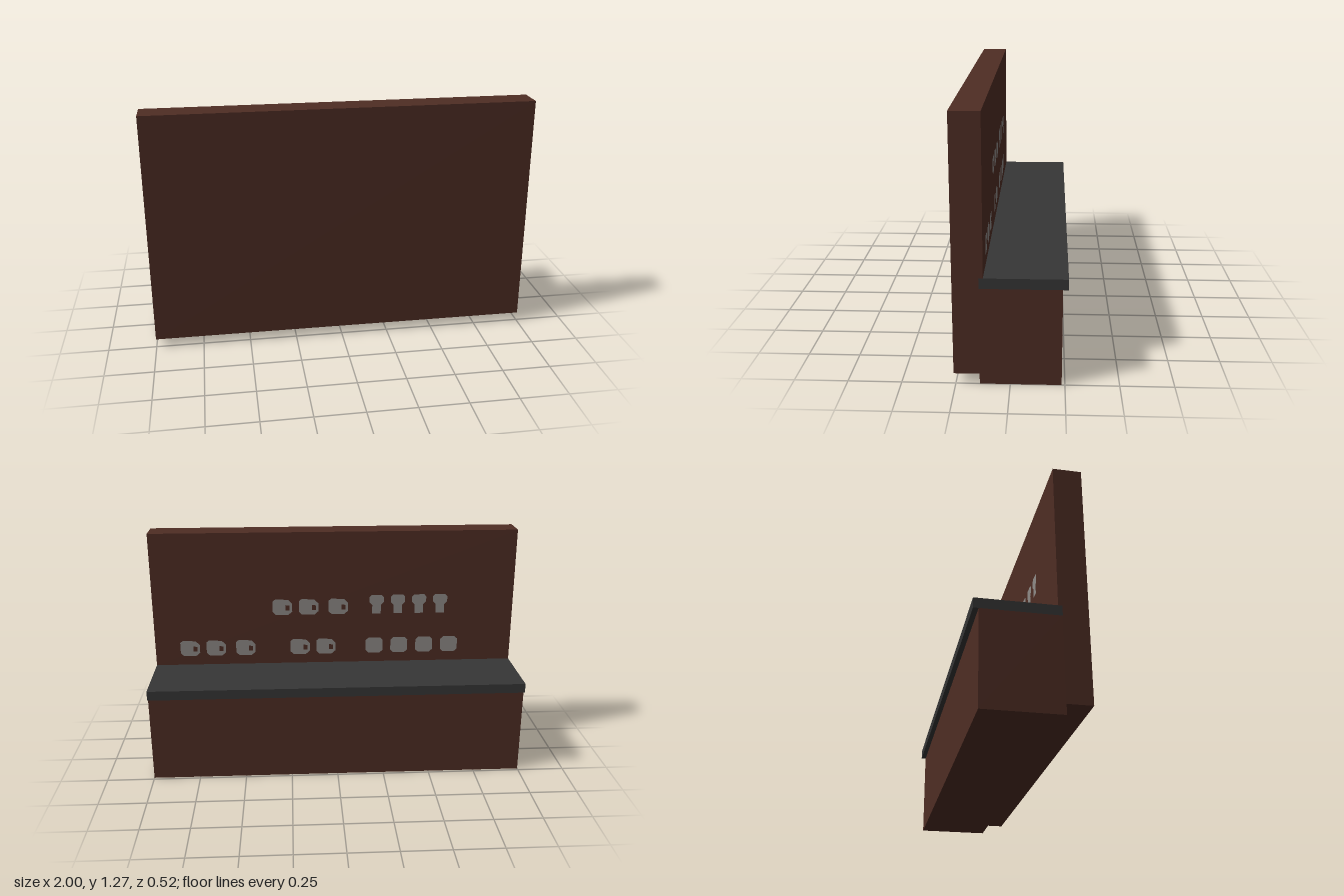
import * as THREE from 'three';

export function createModel() {
  const model = new THREE.Group();
  const wood = new THREE.MeshStandardMaterial({ name: 'darkWood', color: 0x4f2d24 });
  const slate = new THREE.MeshStandardMaterial({ name: 'darkSlate', color: 0x363636 });
  const grey = new THREE.MeshStandardMaterial({ name: 'paleGrey', color: 0x8f8b88 });

  const add = (name, geometry, material) => {
    const mesh = new THREE.Mesh(geometry, material);
    mesh.name = name;
    model.add(mesh);
    return mesh;
  };
  // Full-width block between two heights and two depths
  const block = (name, y0, y1, z0, z1, material) =>
    add(name, new THREE.BoxGeometry(2, y1 - y0, z1 - z0), material)
      .position.set(0, (y0 + y1) / 2, (z0 + z1) / 2);

  block('cabinet', 0, 0.47, -0.235, 0.14, wood);
  block('countertop', 0.47, 0.52, -0.26, 0.14, slate);

  // Back panel, rebated where the countertop lets into it
  const profile = new THREE.Shape([
    [-0.26, 0.05], [-0.14, 0.05], [-0.14, 0.52], [-0.12, 0.52], [-0.12, 1.27], [-0.26, 1.27],
  ].map(([x, y]) => new THREE.Vector2(x, y)));
  const panel = new THREE.ExtrudeGeometry(profile, { depth: 2, bevelEnabled: false });
  panel.translate(0, 0, -1).rotateY(Math.PI / 2);
  add('backPanel', panel, wood);

  // Flat silhouettes of the crockery
  const outline = (points) => new THREE.Shape(points.map(([x, y]) => new THREE.Vector2(x, y)));
  const tumbler = outline([
    [-0.048, -0.03], [-0.032, -0.045], [0.032, -0.045], [0.048, -0.03],
    [0.048, 0.03], [0.032, 0.045], [-0.032, 0.045], [-0.048, 0.03],
  ]);
  const cup = outline([
    [-0.052, -0.028], [-0.034, -0.045], [0.034, -0.045], [0.056, -0.026],
    [0.056, 0.02], [0.034, 0.042], [-0.036, 0.046], [-0.052, 0.034],
  ]);
  cup.holes.push(outline([[0.02, -0.018], [0.02, 0.012], [0.042, 0.008], [0.042, -0.018]]));
  const goblet = outline([
    [-0.024, -0.055], [0.024, -0.055], [0.024, -0.005], [0.04, 0.012],
    [0.04, 0.04], [0.028, 0.053], [-0.028, 0.053], [-0.04, 0.04], [-0.04, 0.012], [-0.024, -0.005],
  ]);

  const row = (name, shape, y, xs) => {
    const geometry = new THREE.ShapeGeometry(shape).rotateY(Math.PI);
    xs.forEach((x, i) => add(name + (i + 1), geometry, grey).position.set(x, y, 0.118));
  };
  row('upperCup', cup, 0.85, [0.29, 0.145, -0.02]);
  row('goblet', goblet, 0.86, [-0.235, -0.354, -0.472, -0.59]);
  row('lowerCup', cup, 0.617, [0.81, 0.665, 0.5, 0.195, 0.05]);
  row('tumbler', tumbler, 0.618, [-0.225, -0.365, -0.507, -0.649]);

  return model;
}
